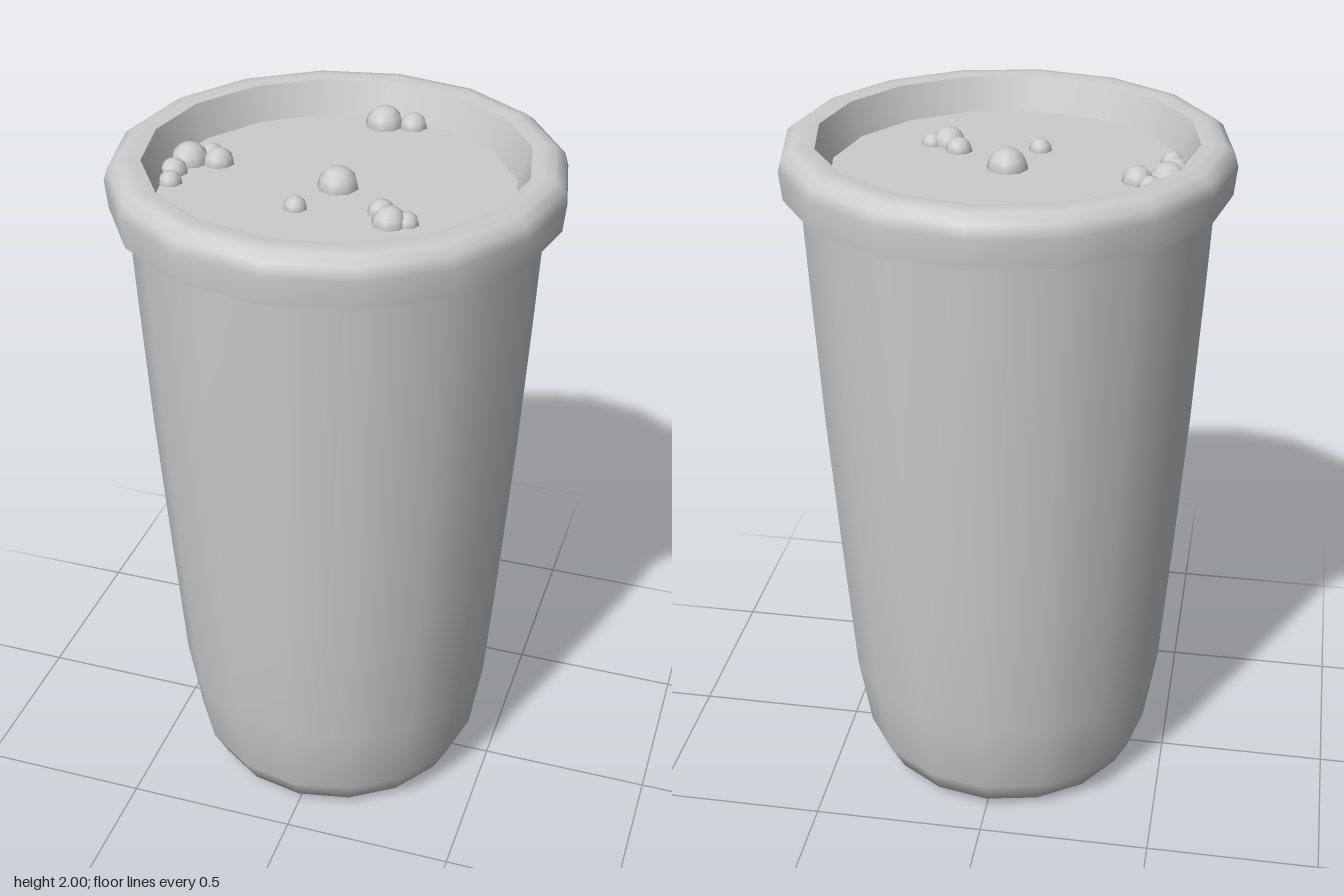
import * as THREE from 'three';

const SIDES = 16;
const LIQUID_Y = 1.9;

export function createModel() {
  const group = new THREE.Group();
  group.name = 'cup';
  const grey = new THREE.MeshStandardMaterial({ color: 0xcccccc });
  grey.name = 'light grey';

  const add = (name, geometry, parent = group) => {
    const mesh = new THREE.Mesh(geometry, grey);
    mesh.name = name;
    parent.add(mesh);
    return mesh;
  };
  // Profiles run upwards on the outside, so the faces point outwards
  const turned = (name, profile) => add(name,
    new THREE.LatheGeometry(profile.map(([r, y]) => new THREE.Vector2(r, y)), SIDES));

  // Tapering body with a rounded foot
  turned('body', [[0.31, 0], [0.393, 0.03], [0.435, 0.11], [0.472, 0.34],
    [0.502, 0.75], [0.531, 1.18], [0.553, 1.6], [0.565, 1.86]]);
  add('base', new THREE.CircleGeometry(0.31, SIDES)).rotation.x = Math.PI / 2;

  // Rolled rim; each lathe ends at a sharp edge
  turned('rimUnderside', [[0.565, 1.86], [0.612, 1.86]]);
  turned('rim', [[0.612, 1.86], [0.62, 1.94], [0.61, 1.975], [0.585, 1.995], [0.555, 2], [0.52, 1.995]]);
  turned('innerWall', [[0.52, 1.995], [0.485, LIQUID_Y]]);

  // Liquid surface
  const liquid = add('liquid', new THREE.CircleGeometry(0.485, SIDES));
  liquid.rotation.x = -Math.PI / 2;
  liquid.position.y = LIQUID_Y;

  // Bubbles floating half submerged: x, z, radius
  const bubbles = new THREE.Group();
  bubbles.name = 'bubbles';
  group.add(bubbles);
  [
    [0, 0, 0.058], [-0.067, 0.157, 0.033],
    [0.155, 0.115, 0.038], [0.193, 0.17, 0.048], [0.238, 0.157, 0.032],
    [0, -0.435, 0.056], [0.083, -0.445, 0.041],
    [-0.438, -0.033, 0.054], [-0.358, -0.045, 0.044], [-0.395, -0.09, 0.033],
    [-0.453, 0.047, 0.039], [-0.437, 0.112, 0.033],
  ].forEach(([x, z, r]) => {
    add('bubble', new THREE.SphereGeometry(r, 8, 6), bubbles).position.set(x, LIQUID_Y, z);
  });

  return group;
}
